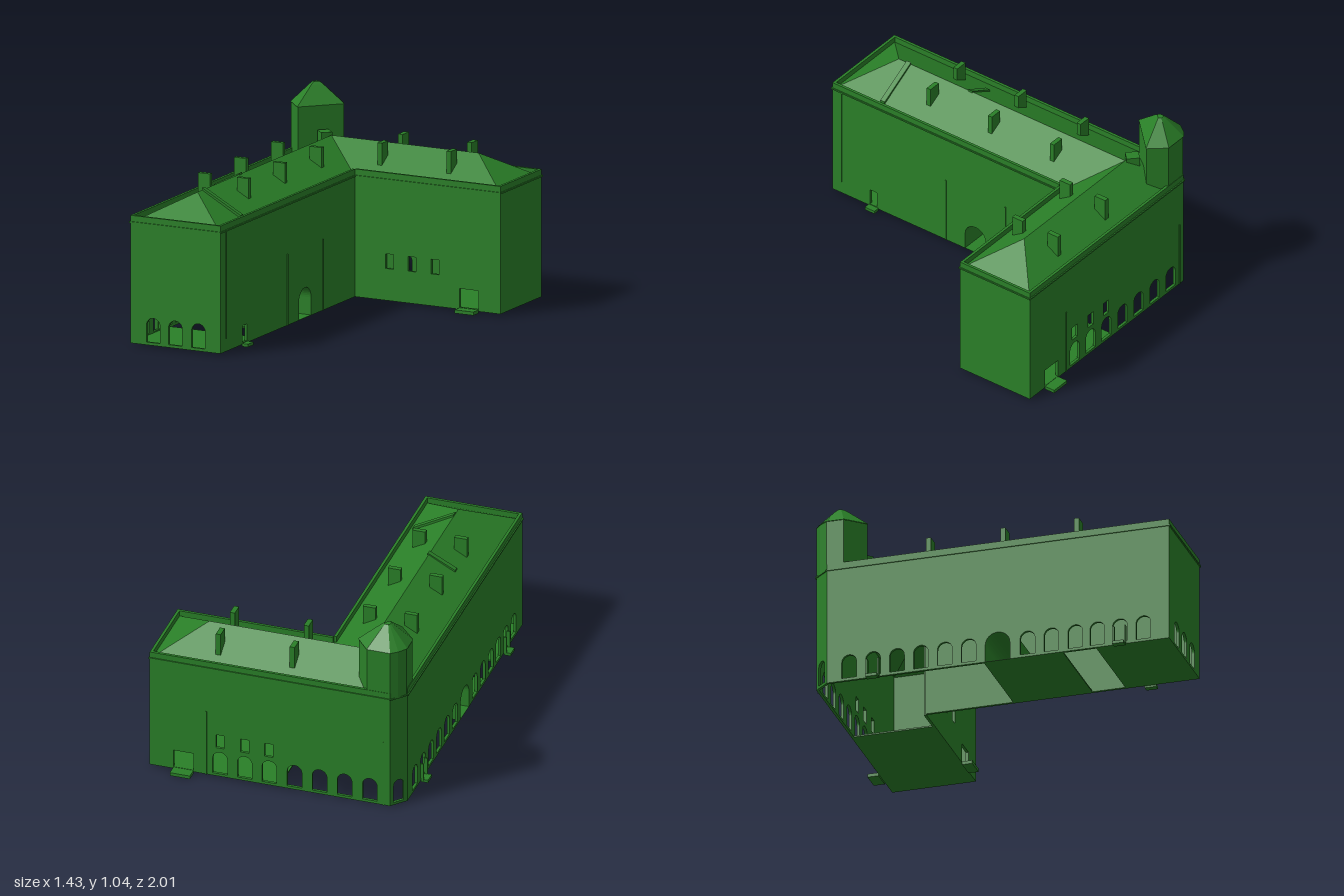
import * as THREE from 'three';

const EAVE = 0.65, PARAPET = 0.69, RIDGE = 0.795, BASE = 0.01;
const material = new THREE.MeshStandardMaterial({ color: 0x2a8028, flatShading: true, side: THREE.DoubleSide });

// Outer footprint as [x, z], running so that each wall faces outward
const A = [-0.675, 1], B = [-0.145, 1], C = [-0.145, -0.485], D = [0.71, -0.485];
const E = [0.71, -0.94], F = [-0.605, -0.94], G = [-0.675, -0.86];

export function createModel() {
  const model = new THREE.Group();
  model.name = 'building';

  const add = (name, geometry, parent = model) => {
    const mesh = new THREE.Mesh(geometry, material);
    mesh.name = name;
    parent.add(mesh);
    return mesh;
  };

  // Box given by its limits on each axis
  const box = (name, x0, x1, y0, y1, z0, z1) => {
    const mesh = add(name, new THREE.BoxGeometry(x1 - x0, y1 - y0, z1 - z0));
    mesh.position.set((x0 + x1) / 2, (y0 + y1) / 2, (z0 + z1) / 2);
    return mesh;
  };

  // Surface from polygons of [x, y, z] corners
  const surface = (name, polygons) => {
    const pos = [];
    for (const p of polygons)
      for (let i = 1; i < p.length - 1; i++) pos.push(...p[0], ...p[i], ...p[i + 1]);
    const g = new THREE.BufferGeometry();
    g.setAttribute('position', new THREE.Float32BufferAttribute(pos, 3));
    g.computeVertexNormals();
    return add(name, g);
  };

  // Opening outline: s is the centre along the wall
  const opening = (s, { w, y0, y1, arched }) => {
    const r = w / 2, p = new THREE.Path();
    p.moveTo(s - r, y0);
    p.lineTo(s + r, y0);
    if (arched) p.absarc(s, y1 - r, r, 0, Math.PI, false);
    else p.lineTo(s + r, y1).lineTo(s - r, y1);
    p.lineTo(s - r, y0);
    return p;
  };

  // Wall from p to q with openings; each opening's c is its world x or z
  const wall = (name, p, q, openings = [], top = PARAPET, thickness = 0.015) => {
    const dx = q[0] - p[0], dz = q[1] - p[1], len = Math.hypot(dx, dz);
    const shape = new THREE.Shape();
    shape.moveTo(0, BASE).lineTo(len, BASE).lineTo(len, top).lineTo(0, top);
    const axis = Math.abs(dx) > Math.abs(dz) ? 0 : 1;
    for (const o of openings) shape.holes.push(opening(o.c === undefined ? len / 2 : Math.abs(o.c - p[axis]), o));
    const g = new THREE.ExtrudeGeometry(shape, { depth: thickness, bevelEnabled: false, curveSegments: 10 });
    g.translate(0, 0, -thickness);
    const mesh = add(name, g);
    mesh.position.set(p[0], 0, p[1]);
    mesh.rotation.y = Math.atan2(-dz, dx);
    return mesh;
  };

  const arch = c => ({ c, w: 0.08, y0: 0.025, y1: 0.155, arched: true });
  const windows = [0.058, 0.19, 0.325].map(c => ({ c, w: 0.046, y0: 0.18, y1: 0.258 }));
  const gate = { c: 0.525, w: 0.11, y0: 0.02, y1: 0.12 };
  const passage = { c: 0.067, w: 0.134, y0: 0.012, y1: 0.172, arched: true };

  // Walls
  wall('frontWall', A, B, [-0.54, -0.41, -0.275].map(arch));
  wall('courtWallLong', B, C, [passage, { c: 0.732, w: 0.046, y0: 0.02, y1: 0.11 }]);
  wall('courtWallShort', C, D, [...windows, gate]);
  wall('endWall', D, E);
  wall('backWall', E, F, [...windows, gate, ...[0.325, 0.19, 0.055, -0.083, -0.22, -0.357, -0.495].map(arch)]);
  wall('cornerWall', F, G, [{ w: 0.06, y0: 0.025, y1: 0.155, arched: true }]);
  wall('sideWall', G, A, [passage,
    ...[-0.74, -0.61, -0.48, -0.35, -0.22, -0.09, 0.23, 0.36, 0.49, 0.61, 0.732, 0.86].map(arch)]);
  wall('passageVault', [-0.158, 0.145], [-0.158, -0.01], [passage], 0.18, 0.502);

  // Thin cornice line below the parapet
  const ring = [A, B, C, D, E, F, G];
  ring.forEach((p, i) => {
    const q = ring[(i + 1) % ring.length];
    const len = Math.hypot(q[0] - p[0], q[1] - p[1]);
    const strip = add('cornice', new THREE.BoxGeometry(len + 0.008, 0.008, 0.012));
    strip.position.set((p[0] + q[0]) / 2, 0.654, (p[1] + q[1]) / 2);
    strip.rotation.y = Math.atan2(p[1] - q[1], q[0] - p[0]);
  });

  // Hipped roof over both wings
  const [a, b, c, d, e, f, g] = ring.map(p => [p[0], EAVE, p[1]]);
  const r1 = [-0.405, RIDGE, 0.765], r2 = [-0.405, RIDGE, -0.712], r3 = [0.46, RIDGE, -0.712];
  surface('roof', [[a, b, r1], [b, c, r2, r1], [c, d, r3, r2], [d, e, r3],
    [e, f, r2, r3], [f, g, r2], [g, a, r1, r2]]);

  // Floors, open in places
  box('floorShortWing', 0, 0.7, BASE, 0.018, -0.93, -0.495);
  box('floorMiddle', -0.665, -0.155, BASE, 0.018, 0.145, 0.42);
  box('floorFront', -0.665, -0.155, BASE, 0.018, 0.6, 0.99);

  // Corner tower with blunt pointed roof
  const plan = [[-0.672, -0.77], [-0.58, -0.67], [-0.405, -0.85], [-0.48, -0.938],
    [-0.605, -0.938], [-0.64, -0.91], [-0.672, -0.865]];
  const centre = [-0.555, -0.825];
  const level = (k, y) => plan.map(p => [centre[0] + (p[0] - centre[0]) * k, y, centre[1] + (p[1] - centre[1]) * k]);
  const loft = (lo, hi) => lo.map((p, i) => {
    const j = (i + 1) % lo.length;
    return [p, lo[j], hi[j], hi[i]];
  });
  surface('towerWalls', loft(level(1, EAVE), level(1, 0.935)));
  const eaves = level(1.03, 0.935), shoulder = level(0.27, 1.03), cap = level(0.14, 1.044);
  surface('towerRoof', [...loft(eaves, shoulder), ...loft(shoulder, cap), cap]);
  const link = add('towerLink', new THREE.BoxGeometry(0.06, 0.12, 0.07));
  link.position.set(-0.45, 0.75, -0.725);
  link.rotation.y = Math.PI / 4;

  // Chimneys in pairs on both slopes
  for (const z of [-0.345, 0.06, 0.46])
    for (const x of [-0.523, -0.295]) box('chimney', x - 0.035, x + 0.035, 0.69, 0.822, z - 0.0125, z + 0.0125);
  for (const x of [-0.045, 0.36])
    for (const z of [-0.832, -0.603]) box('chimney', x - 0.0135, x + 0.0135, 0.69, 0.822, z - 0.034, z + 0.034);

  // Low fire walls that follow the slope
  const fireWall = (x0, x1, z) => {
    const roofY = x => RIDGE - Math.abs(x + 0.405) * 0.545;
    const shape = new THREE.Shape();
    shape.moveTo(x0, roofY(x0) - 0.01).lineTo(x1, roofY(x1) - 0.01);
    shape.lineTo(x1, roofY(x1) + 0.012).lineTo(x0, roofY(x0) + 0.012);
    const geo = new THREE.ExtrudeGeometry(shape, { depth: 0.028, bevelEnabled: false });
    add('fireWall', geo.translate(0, 0, z - 0.014));
  };
  fireWall(-0.55, -0.4, 0.295);
  fireWall(-0.405, -0.18, 0.7);

  // Doorsteps
  box('gateStepBack', 0.47, 0.58, 0, 0.018, -1, -0.94);
  box('gateStepCourt', 0.47, 0.58, 0, 0.018, -0.485, -0.43);
  box('doorStepCourt', -0.145, -0.11, 0, 0.016, 0.7, 0.762);
  for (const z of [-0.61, 0.732]) {
    box('doorStepSide', -0.713, -0.675, 0, 0.016, z - 0.031, z + 0.031);
    for (const s of [-1, 1])
      box('doorJamb', -0.69, -0.67, BASE, 0.11, z + s * 0.031 - 0.004, z + s * 0.031 + 0.004);
  }

  // Blind panels behind two court windows
  for (const x of [0.058, 0.325]) box('windowPanel', x - 0.035, x + 0.035, 0.17, 0.27, -0.53, -0.525);

  // Slim pipes on the walls
  for (const z of [0.26, -0.13]) box('pipe', -0.147, -0.141, BASE, 0.39, z - 0.003, z + 0.003);
  box('pipe', -0.147, -0.141, 0.08, EAVE, 0.937, 0.943);
  for (const x of [0.4, -0.57]) box('pipe', x - 0.003, x + 0.003, BASE, 0.39, -0.944, -0.938);

  return model;
}
